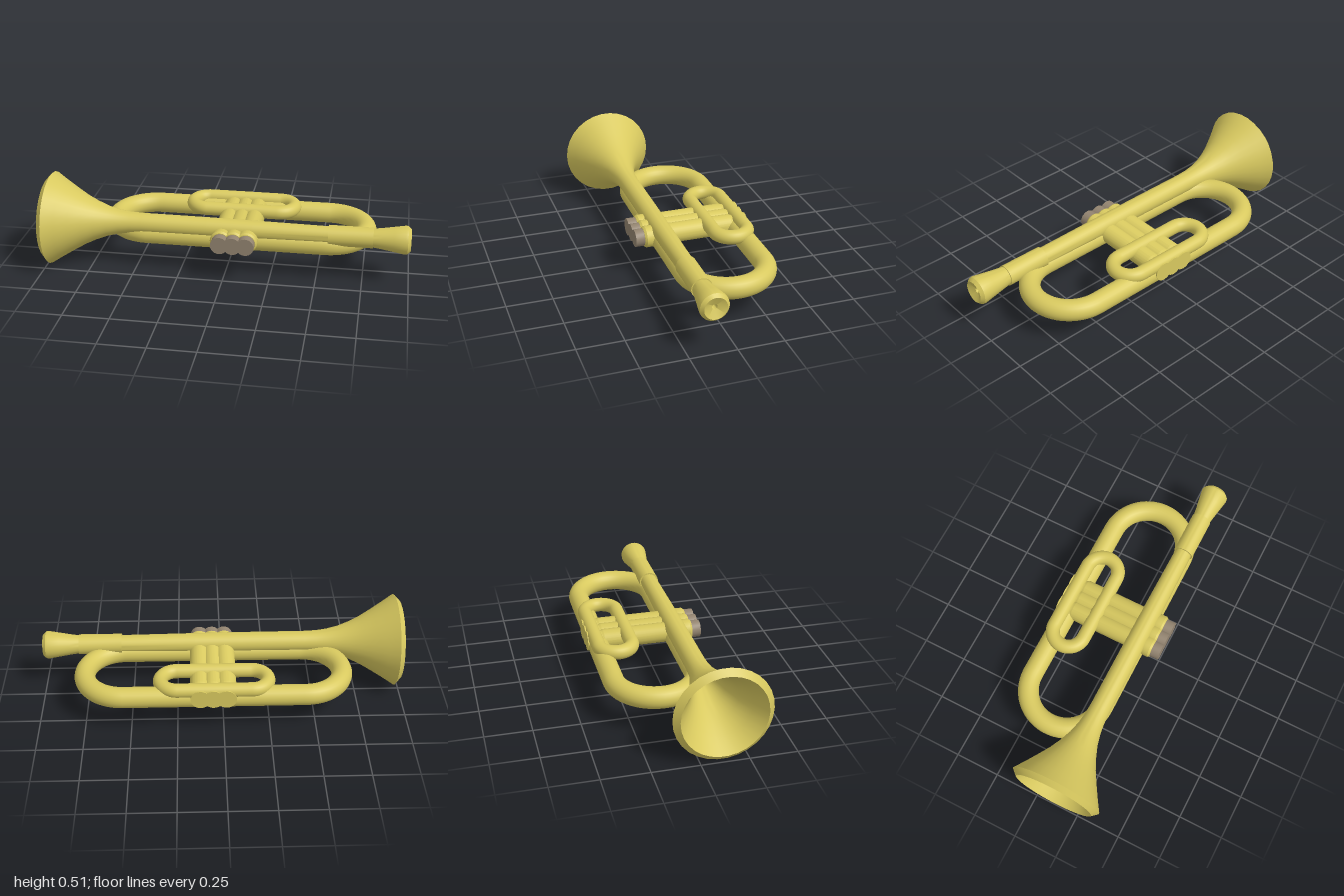
import * as THREE from 'three';
import { toCreasedNormals } from 'three/addons/utils/BufferGeometryUtils.js';

const brass = new THREE.MeshStandardMaterial({ color: 0xd8c95f });
const pearl = new THREE.MeshStandardMaterial({ color: 0x938470 });

// Closed stadium path in a horizontal plane: two straights joined by half circles.
class StadiumCurve extends THREE.Curve {
  constructor(x0, x1, y, z, r) {
    super();
    Object.assign(this, { x0, x1, y, z, r });
  }
  getPoint(t, target = new THREE.Vector3()) {
    const { x0, x1, y, z, r } = this;
    const len = x1 - x0, arc = Math.PI * r;
    let s = (t % 1) * 2 * (len + arc);
    if (s < len) return target.set(x0 + s, y, z + r);
    s -= len;
    if (s < arc) return target.set(x1 + r * Math.sin(s / r), y, z + r * Math.cos(s / r));
    s -= arc;
    if (s < len) return target.set(x1 - s, y, z - r);
    s -= len;
    return target.set(x0 - r * Math.sin(s / r), y, z - r * Math.cos(s / r));
  }
}

// Turned part from [radius, position along axis] pairs.
function turned(name, profile, material, sides = 30) {
  const points = profile.map(([r, a]) => new THREE.Vector2(r, a));
  const geometry = toCreasedNormals(new THREE.LatheGeometry(points, sides), 0.5);
  const mesh = new THREE.Mesh(geometry, material);
  mesh.name = name;
  return mesh;
}

function loop(name, curve, radius) {
  const mesh = new THREE.Mesh(new THREE.TubeGeometry(curve, 144, radius, 24, true), brass);
  mesh.name = name;
  return mesh;
}

export function createModel() {
  const model = new THREE.Group();
  model.name = 'trumpet';

  // Parts turned about the long axis
  const pipe = new THREE.Group();
  pipe.name = 'mainPipe';
  pipe.position.set(0, 0.258, 0.118);
  pipe.rotation.z = -Math.PI / 2;
  model.add(pipe);

  // Bell: throat, inner flare, lip, outer flare, then the straight pipe
  pipe.add(turned('bellAndPipe', [
    [0, -0.48], [0.035, -0.52], [0.055, -0.62], [0.085, -0.72], [0.125, -0.82], [0.17, -0.91], [0.224, -1],
    [0.257, -0.97], [0.217, -0.91], [0.176, -0.845], [0.137, -0.78], [0.108, -0.72],
    [0.083, -0.655], [0.067, -0.59], [0.059, -0.53], [0.056, -0.46], [0.055, -0.1],
    [0.053, 0.15], [0.048, 0.57],
  ], brass));

  pipe.add(turned('mouthpieceReceiver', [
    [0, 0.56], [0.056, 0.56], [0.056, 0.8], [0, 0.8],
  ], brass));

  pipe.add(turned('mouthpiece', [
    [0, 0.795], [0.05, 0.795], [0.058, 0.85], [0.068, 0.91], [0.078, 0.97], [0.076, 0.983],
    [0.06, 1], [0.014, 0.98], [0.012, 0.93], [0, 0.93],
  ], brass));

  // Large and small tubing loops
  model.add(loop('mainLoop', new StadiumCurve(-0.44, 0.54, 0.2, -0.0975, 0.2155), 0.057));
  model.add(loop('smallLoop', new StadiumCurve(-0.15, 0.25, 0.252, -0.241, 0.09), 0.039));

  // Three overlapping valves running front to back, each with a finger button
  [-0.015, 0.055, 0.125].forEach((x, i) => {
    const valve = new THREE.Group();
    valve.name = `valve${i + 1}`;
    valve.position.set(x, 0.219, 0);
    valve.rotation.x = Math.PI / 2;
    valve.add(turned('valveCasing', [
      [0, -0.373], [0.053, -0.373], [0.053, -0.33], [0.05, -0.325], [0.05, -0.29],
      [0.055, -0.28], [0.055, 0.15], [0.059, 0.16], [0.059, 0.205], [0.051, 0.216], [0, 0.216],
    ], brass, 24));
    valve.add(turned('fingerButton', [
      [0, 0.21], [0.048, 0.21], [0.048, 0.265], [0, 0.265],
    ], pearl, 24));
    model.add(valve);
  });

  return model;
}
